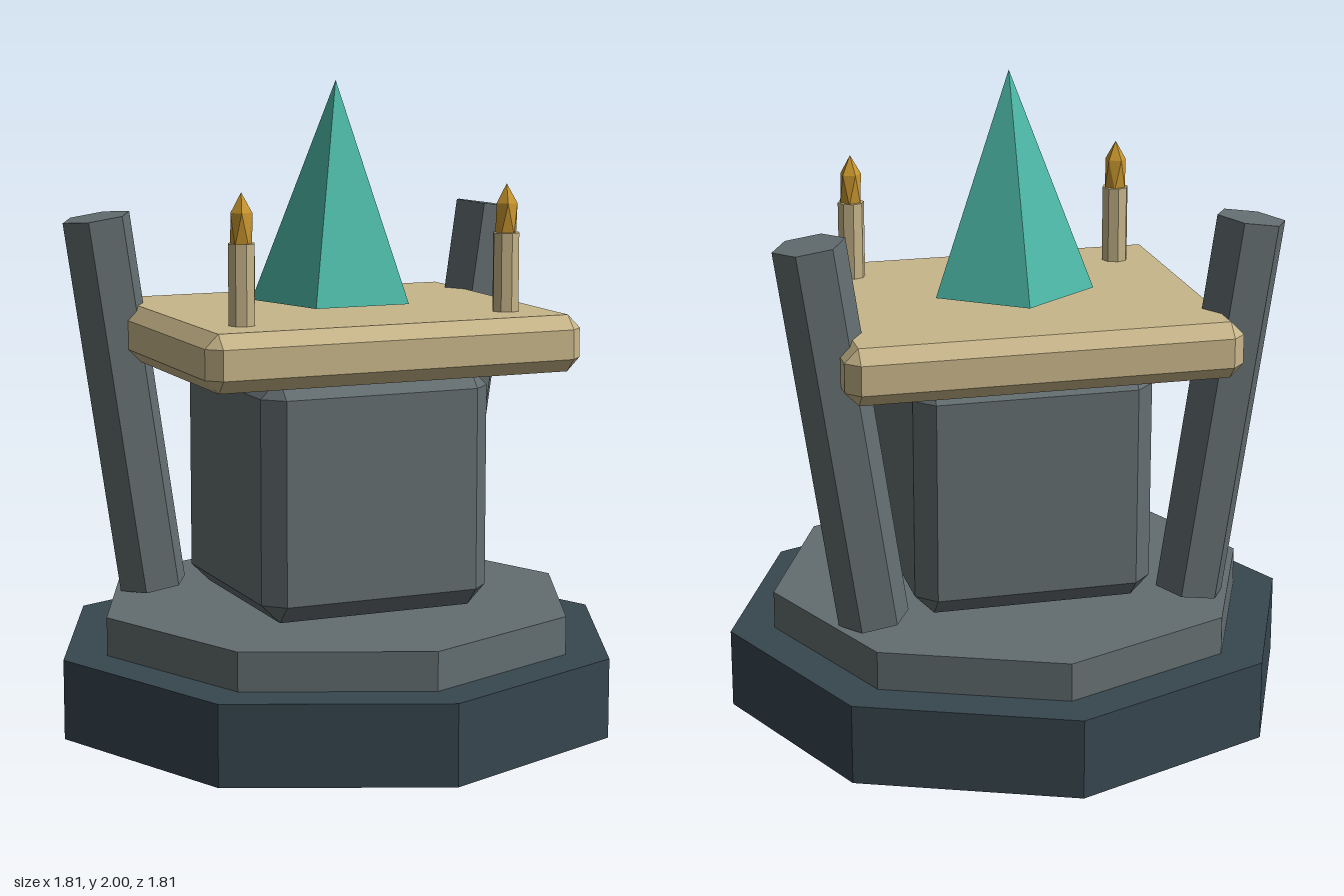
import * as THREE from 'three';
import { ConvexGeometry } from 'three/addons/geometries/ConvexGeometry.js';

const flat = (name, color) => {
  const m = new THREE.MeshStandardMaterial({ color, flatShading: true });
  m.name = name;
  return m;
};

// Box with every edge bevelled and every corner cut to a triangle
function chamferedBox(w, h, d, c) {
  const points = [];
  for (const x of [-w / 2, w / 2])
    for (const y of [-h / 2, h / 2])
      for (const z of [-d / 2, d / 2]) {
        const ix = x - Math.sign(x) * c, iy = y - Math.sign(y) * c, iz = z - Math.sign(z) * c;
        points.push(
          new THREE.Vector3(x, iy, iz),
          new THREE.Vector3(ix, y, iz),
          new THREE.Vector3(ix, iy, z)
        );
      }
  return new ConvexGeometry(points);
}

export function createModel() {
  const group = new THREE.Group();
  group.name = 'altar';

  const darkStone = flat('dark slate', 0x37464f);
  const stone = flat('grey stone', 0x636d70);
  const sand = flat('pale sandstone', 0xc8b68a);
  const teal = flat('teal crystal', 0x4db8a6);
  const gold = flat('golden flame', 0xc8962f);

  const add = (name, geometry, material, x, y, z) => {
    const mesh = new THREE.Mesh(geometry, material);
    mesh.name = name;
    mesh.position.set(x, y, z);
    group.add(mesh);
    return mesh;
  };

  // Stepped octagonal base
  add('lowerStep', new THREE.CylinderGeometry(0.905, 0.905, 0.25, 8), darkStone, 0, 0.125, 0);
  add('upperStep', new THREE.CylinderGeometry(0.765, 0.765, 0.12, 8), stone, 0, 0.31, 0);

  // Pedestal and table slab
  add('pedestal', chamferedBox(0.75, 0.75, 0.74, 0.06), stone, 0, 0.755, 0);
  add('slab', chamferedBox(1.22, 0.175, 1.03, 0.042), sand, 0, 1.21, 0);

  // Five-sided crystal, one edge to the back
  const crystal = new THREE.ConeGeometry(0.263, 0.68, 5).rotateY(Math.PI);
  add('crystal', crystal, teal, 0, 1.66, 0);

  // Hexagonal pillars leaning outwards
  const pillar = new THREE.CylinderGeometry(0.11, 0.11, 1.2, 6).rotateY(Math.PI / 2);
  // Candles with a stretched icosahedron, point upwards, for a flame
  const candle = new THREE.CylinderGeometry(0.042, 0.042, 0.26, 8);
  const flame = new THREE.IcosahedronGeometry(1, 0)
    .rotateZ(Math.atan(2 / (1 + Math.sqrt(5))))
    .scale(0.038, 0.108, 0.038);

  for (const [side, s] of [['left', 1], ['right', -1]]) {
    add(side + 'Pillar', pillar, stone, s * 0.5925, 0.98, -0.315).rotation.z = -s * 0.145;
    add(side + 'Candle', candle, sand, s * 0.435, 1.41, 0.315);
    add(side + 'Flame', flame, gold, s * 0.435, 1.582, 0.315);
  }

  return group;
}
